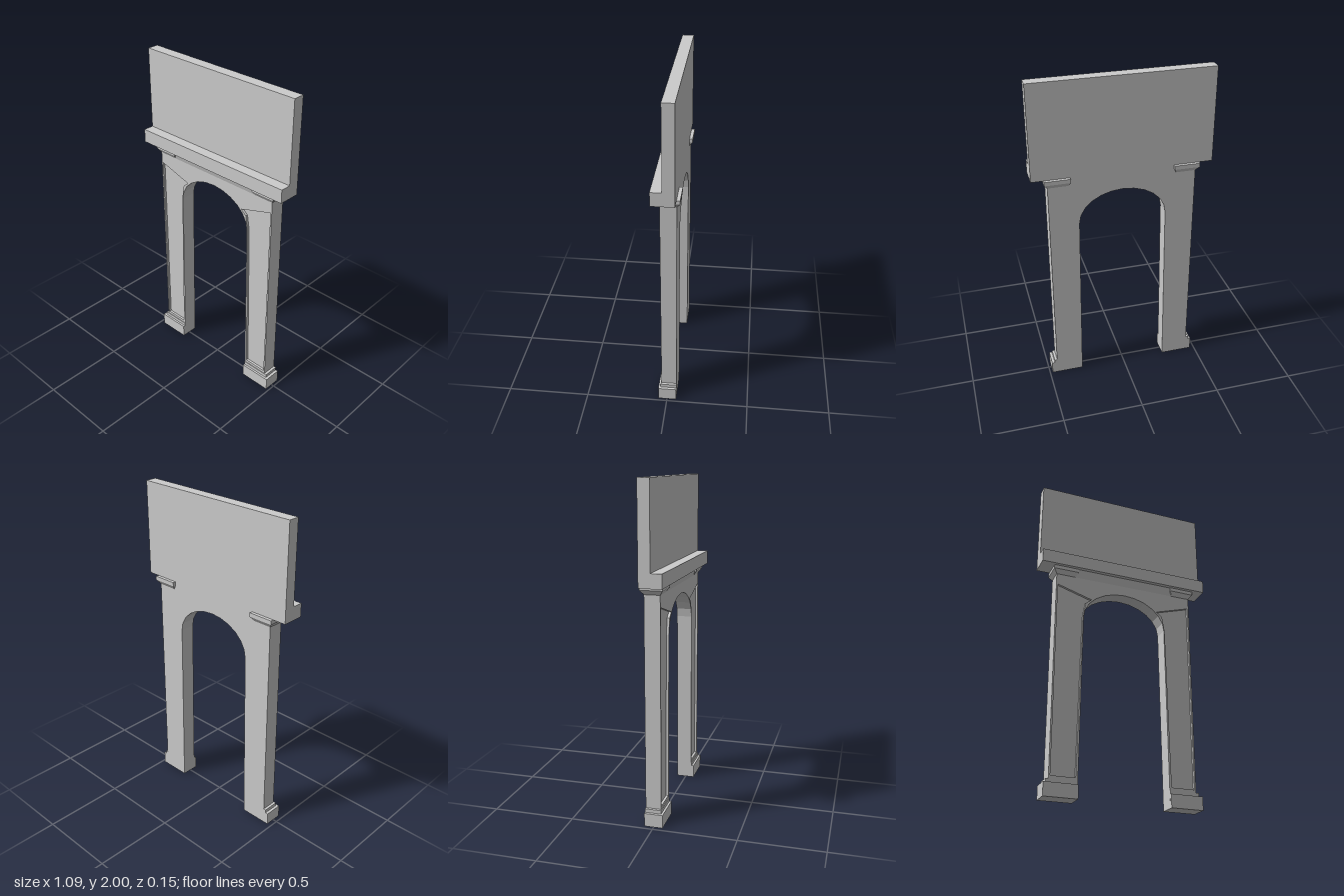
import * as THREE from 'three';

const BACK = -0.057, FACE = 0.037, RECESS = 0.022;

export function createModel() {
  const group = new THREE.Group();
  const material = new THREE.MeshStandardMaterial({ color: 0xcccccc, flatShading: true });
  const add = (parent, name, geometry) => {
    const mesh = new THREE.Mesh(geometry, material);
    mesh.name = name;
    parent.add(mesh);
  };

  // Block between two heights; bottom and top are [x0, x1, z0, z1]
  const block = (y0, y1, bottom, top = bottom) => {
    const g = new THREE.BoxGeometry(1, 1, 1);
    const p = g.attributes.position;
    for (let i = 0; i < p.count; i++) {
      const up = p.getY(i) > 0;
      const r = up ? top : bottom;
      p.setXYZ(i, p.getX(i) < 0 ? r[0] : r[1], up ? y1 : y0, p.getZ(i) < 0 ? r[2] : r[3]);
    }
    g.computeVertexNormals();
    return g;
  };

  const points = (list) => list.map(([x, y]) => new THREE.Vector2(x, y));

  // Wall outline: two tapering legs joined by a faceted arch
  const wall = (top) => {
    const list = [[0.278, 0], [0.445, 0], [0.445, top], [-0.445, top], [-0.445, 0], [-0.278, 0]];
    const steps = 12;
    for (let i = 0; i <= steps; i++) {
      const a = Math.PI * (1 - i / steps);
      list.push([0.265 * Math.cos(a), 1.11 + 0.197 * Math.sin(a)]);
    }
    return new THREE.Shape(points(list));
  };
  const extrude = (shape, z0, z1) =>
    new THREE.ExtrudeGeometry(shape, { depth: z1 - z0, bevelEnabled: false }).translate(0, 0, z0);

  const arch = new THREE.Group();
  arch.name = 'archway';
  arch.position.x = 0.005;
  group.add(arch);
  add(arch, 'archWall', extrude(wall(1.42), BACK, RECESS));

  // Front layer with a sunken panel cut into each leg
  const face = wall(1.37);
  for (const s of [-1, 1]) {
    face.holes.push(new THREE.Path(points([
      [0.435 * s, 0.12], [0.435 * s, 1.3], [0.218 * s, 1.235],
      [0.255 * s, 1.205], [0.271 * s, 1.11], [0.29 * s, 0.12],
    ])));
  }
  add(arch, 'panelledFace', extrude(face, RECESS, FACE));

  // Sloping frieze under the ledge
  add(arch, 'frieze', block(1.37, 1.42, [-0.445, 0.445, BACK, FACE], [-0.445, 0.445, BACK, 0.052]));

  // Stepped feet and capitals, one pair per leg
  for (const s of [-1, 1]) {
    const side = s < 0 ? 'right' : 'left';
    const span = (inner, outer, z0, z1) =>
      s < 0 ? [-outer, -inner, z0, z1] : [inner, outer, z0, z1];
    add(arch, side + 'Plinth', block(0, 0.08, span(0.278, 0.478, BACK, 0.054)));
    add(arch, side + 'PlinthStep', block(0.08, 0.102, span(0.278, 0.461, BACK, 0.041)));
    const cap = span(0.311, 0.466, -0.077, 0.056);
    add(arch, side + 'CapitalFlare', block(1.37, 1.397, span(0.325, 0.445, BACK, FACE), cap));
    add(arch, side + 'CapitalSlab', block(1.397, 1.421, cap));
  }

  // Upper wall with a projecting ledge, extruded sideways from its profile
  const profile = new THREE.Shape(points([
    [-0.077, 1.42], [0.057, 1.42], [0.057, 2], [-0.012, 2], [-0.012, 1.503], [-0.077, 1.503],
  ]));
  add(group, 'upperWallAndLedge', extrude(profile, -0.543, 0.543).rotateY(Math.PI / 2));

  return group;
}
